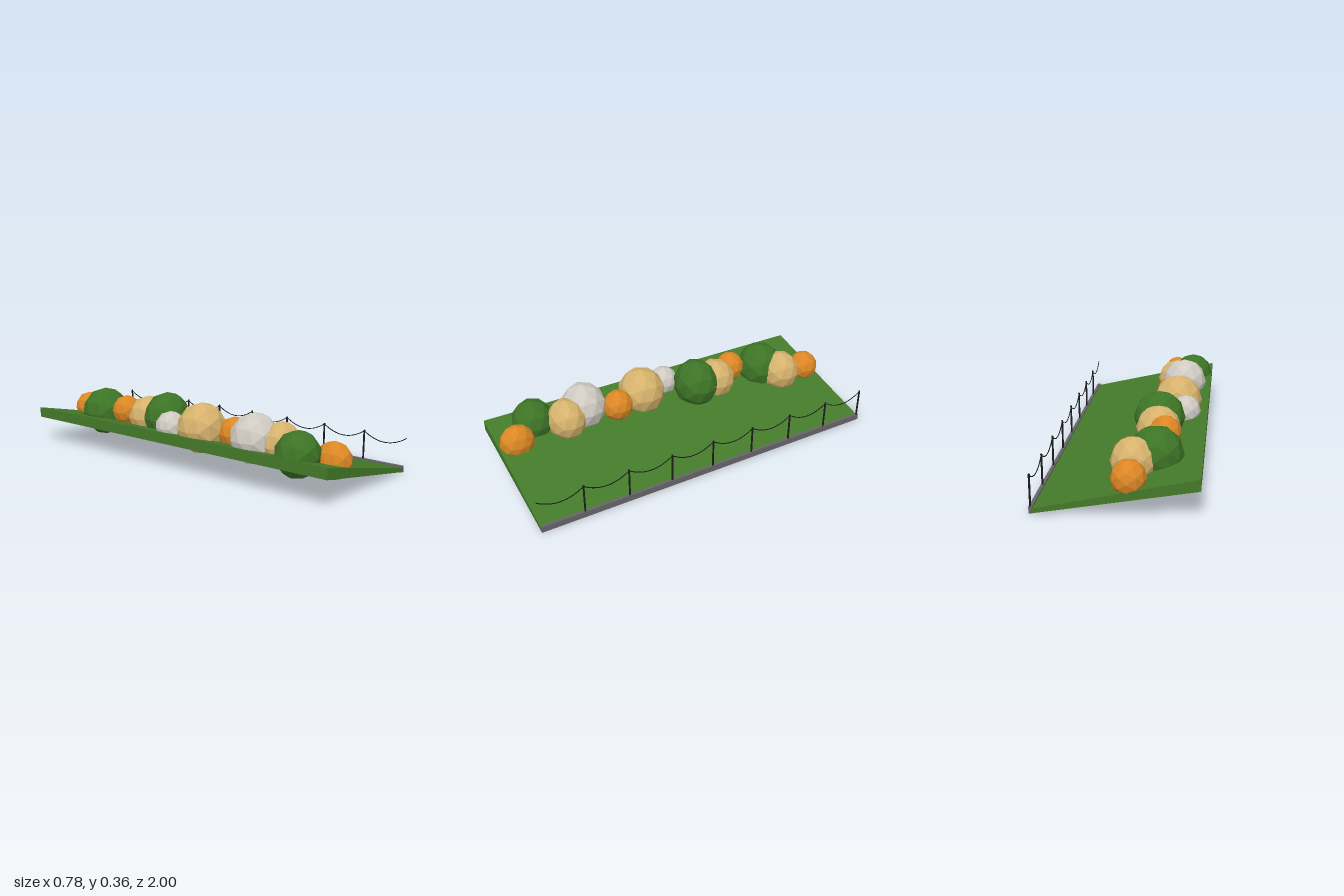
import * as THREE from 'three';

const mat = (color, flat = false) => new THREE.MeshStandardMaterial({ color, flatShading: flat });

export function createModel() {
  const model = new THREE.Group();
  model.name = 'hedgeBank';
  const add = (name, geometry, material, x = 0, y = 0, z = 0) => {
    const mesh = new THREE.Mesh(geometry, material);
    mesh.name = name;
    mesh.position.set(x, y, z);
    model.add(mesh);
    return mesh;
  };
  const half = 0.987;

  // Sloping grass slab, thinner towards the kerb
  const profile = new THREE.Shape([
    new THREE.Vector2(-0.39, 0.146), new THREE.Vector2(0.375, 0.001),
    new THREE.Vector2(0.375, 0.024), new THREE.Vector2(-0.39, 0.203),
  ]);
  const slab = new THREE.ExtrudeGeometry(profile, { depth: 2 * half, bevelEnabled: false });
  add('grassBank', slab, mat(0x447a29), 0, 0, -half);

  // Kerb along the low edge
  add('kerb', new THREE.BoxGeometry(0.017, 0.033, 2 * half), mat(0x68656a), 0.378, 0.0165, 0);

  // Posts and the chain hanging between them; the last span ends free
  const dark = mat(0x1c1c1e);
  const step = 0.2475, first = -0.979, px = 0.379, top = 0.185, sag = 0.043;
  const postGeo = new THREE.CylinderGeometry(0.005, 0.005, 0.158, 8);
  for (let i = 0; i < 8; i++) {
    const z = first + i * step;
    add('post', postGeo, dark, px, 0.111, z);
    const points = [];
    for (let k = 0; k <= 10; k++) {
      const t = k / 10;
      points.push(new THREE.Vector3(px, top - 4 * sag * t * (1 - t), z + t * step));
    }
    const curve = new THREE.CatmullRomCurve3(points);
    add('chainSpan', new THREE.TubeGeometry(curve, 16, 0.0025, 6), dark);
  }

  // Faceted round bushes: colour, centre x y z, radii x y z
  const green = mat(0x3d7426, true), tan = mat(0xd6b26c, true);
  const orange = mat(0xdc8724, true), pale = mat(0xcfcbc3, true);
  const bushes = [
    [orange, -0.061, 0.165, -0.913, 0.085, 0.09, 0.087],
    [tan, -0.064, 0.178, -0.738, 0.114, 0.121, 0.114],
    [green, -0.164, 0.190, -0.660, 0.135, 0.138, 0.137],
    [orange, -0.190, 0.225, -0.460, 0.082, 0.088, 0.084],
    [tan, -0.145, 0.203, -0.330, 0.117, 0.117, 0.115],
    [green, -0.139, 0.217, -0.195, 0.137, 0.140, 0.128],
    [pale, -0.271, 0.208, -0.052, 0.081, 0.085, 0.085],
    [tan, -0.217, 0.217, 0.120, 0.135, 0.138, 0.133],
    [orange, -0.164, 0.205, 0.295, 0.083, 0.090, 0.087],
    [pale, -0.232, 0.222, 0.473, 0.130, 0.134, 0.126],
    [tan, -0.182, 0.203, 0.595, 0.116, 0.117, 0.107],
    [green, -0.273, 0.198, 0.754, 0.117, 0.120, 0.116],
    [orange, -0.163, 0.168, 0.887, 0.078, 0.097, 0.096],
  ];
  const bushGeo = new THREE.IcosahedronGeometry(1, 1);
  for (const [material, x, y, z, rx, ry, rz] of bushes) {
    add('bush', bushGeo, material, x, y, z).scale.set(rx, ry, rz);
  }
  return model;
}
